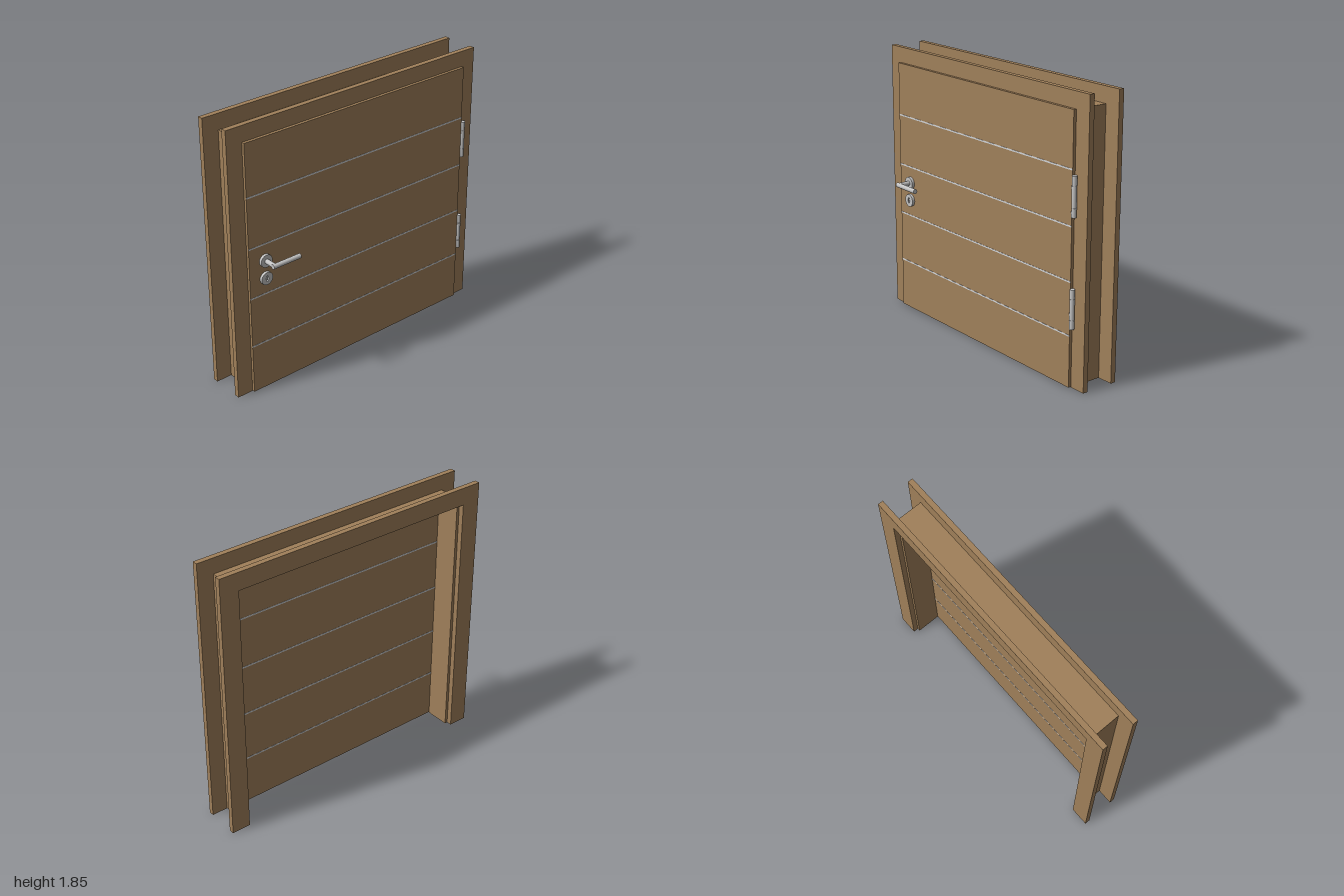
import * as THREE from 'three';

export function createModel() {
  const root = new THREE.Group();
  const mat = (name, color) => {
    const m = new THREE.MeshStandardMaterial({ color });
    m.name = name;
    return m;
  };
  const wood = mat('wood', 0xa0805a);
  const metal = mat('satin metal', 0xc4c4c4);
  const inlay = mat('pale inlay', 0xd2d4d6);

  const add = (name, geo, material, x = 0, y = 0, z = 0, parent = root) => {
    const mesh = new THREE.Mesh(geo, material);
    mesh.name = name;
    mesh.position.set(x, y, z);
    parent.add(mesh);
    return mesh;
  };

  // Upside-down U: two legs and a head, extruded from z0 to z1
  const portal = (name, outX, outY, inX, inY, z0, z1) => {
    const s = new THREE.Shape([
      [-outX, 0], [-inX, 0], [-inX, inY], [inX, inY],
      [inX, 0], [outX, 0], [outX, outY], [-outX, outY],
    ].map(([x, y]) => new THREE.Vector2(x, y)));
    const geo = new THREE.ExtrudeGeometry(s, { depth: z1 - z0, bevelEnabled: false });
    return add(name, geo, wood, 0, 0, z0);
  };

  // Frame: lining between two casings
  portal('frontCasing', 1, 1.85, 0.87, 1.73, 0.028, 0.064);
  portal('backCasing', 1, 1.85, 0.87, 1.73, -0.2, -0.164);
  portal('jambLining', 0.89, 1.745, 0.85, 1.705, -0.164, 0.028);

  // Door leaf: core inside the frame, wider lip overlapping the casing
  const box = (w, h, d) => new THREE.BoxGeometry(w, h, d);
  add('leafCore', box(1.7, 1.7, 0.06), wood, 0, 0.855, 0.036);
  add('leafLip', box(1.78, 1.74, 0.02), wood, 0, 0.875, 0.076);

  // Horizontal inlay strips on both faces
  for (const y of [0.345, 0.692, 1.04, 1.388]) {
    add('frontInlay', box(1.78, 0.01, 0.002), inlay, 0, y, 0.0865);
    add('backInlay', box(1.7, 0.01, 0.002), inlay, 0, y, 0.0055);
  }

  // Hinges: three knuckles with narrow joints around a pin
  for (const y0 of [0.395, 1.1]) {
    const hinge = new THREE.Group();
    hinge.name = 'hinge';
    hinge.position.set(0.905, y0, 0.083);
    root.add(hinge);
    for (const [a, b] of [[0, 0.059], [0.061, 0.194], [0.196, 0.255]]) {
      add('knuckle', new THREE.CylinderGeometry(0.016, 0.016, b - a, 24), metal, 0, (a + b) / 2, 0, hinge);
    }
    add('hingePin', new THREE.CylinderGeometry(0.013, 0.013, 0.25, 16), metal, 0, 0.1275, 0, hinge);
  }

  // Lever handle: round rose, neck and grip
  const handle = new THREE.Group();
  handle.name = 'leverHandle';
  handle.position.set(-0.77, 0.928, 0);
  root.add(handle);
  add('rose', new THREE.CylinderGeometry(0.043, 0.043, 0.02, 40), metal, 0, 0, 0.095, handle).rotation.x = Math.PI / 2;
  add('neck', new THREE.CylinderGeometry(0.016, 0.016, 0.08, 24), metal, 0, 0, 0.143, handle).rotation.x = Math.PI / 2;
  add('grip', new THREE.CylinderGeometry(0.016, 0.016, 0.21, 24), metal, 0.089, 0, 0.184, handle).rotation.z = Math.PI / 2;

  // Key rose with an oval opening
  const plate = new THREE.Shape().absarc(0, 0, 0.043, 0, Math.PI * 2);
  plate.holes.push(new THREE.Path().absellipse(0, 0, 0.01, 0.02, 0, Math.PI * 2, true));
  add('keyRose', new THREE.ExtrudeGeometry(plate, { depth: 0.02, bevelEnabled: false, curveSegments: 24 }),
    metal, -0.77, 0.805, 0.085);
  add('lockCore', box(0.024, 0.044, 0.006), metal, -0.77, 0.805, 0.088);
  add('keySlot', box(0.006, 0.022, 0.014), metal, -0.77, 0.805, 0.096);

  return root;
}
